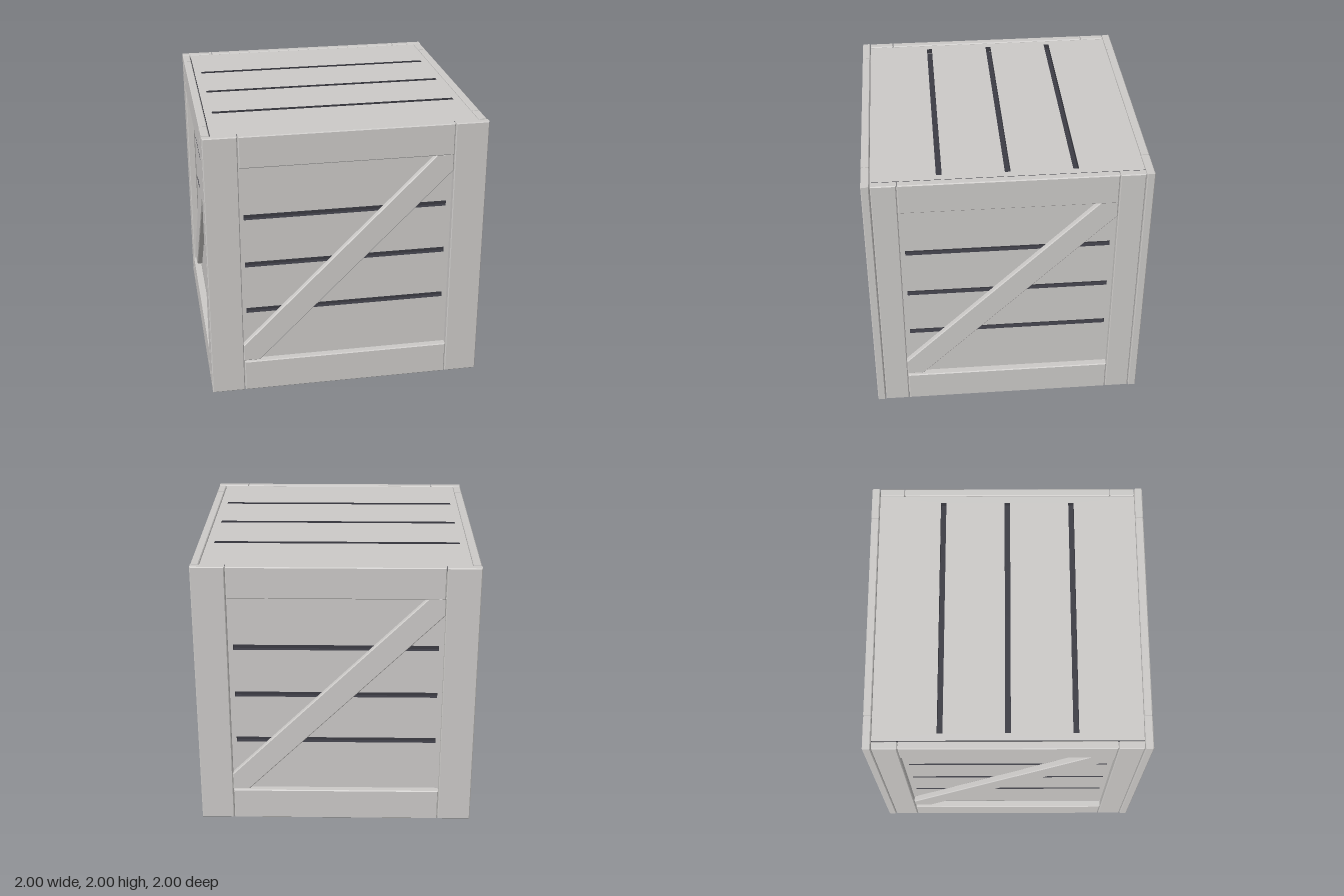
import * as THREE from 'three';

const grey = new THREE.MeshStandardMaterial({ color: 0xcccac8 });
grey.name = 'light grey boards';
const dark = new THREE.MeshStandardMaterial({ color: 0x3c3c44 });
dark.name = 'dark slots';

const BEVEL = 0.006;
const rectPoints = (x0, y0, x1, y1) => [[x0, y0], [x1, y0], [x1, y1], [x0, y1]];
const vectors = (points) => points.map(([x, y]) => new THREE.Vector2(x, y));

// Chamfered board lying in the xy plane, reaching from depth z0 to z1
function board(name, points, z0, z1) {
  const geometry = new THREE.ExtrudeGeometry(new THREE.Shape(vectors(points)), {
    depth: z1 - z0 - 2 * BEVEL,
    bevelEnabled: true,
    bevelThickness: BEVEL,
    bevelSize: BEVEL,
    bevelOffset: -BEVEL,
    bevelSegments: 1,
  });
  geometry.translate(0, 0, z0 + BEVEL);
  const mesh = new THREE.Mesh(geometry, grey);
  mesh.name = name;
  return mesh;
}

// Flat panel pierced by three horizontal slots with dark walls
function slottedPanel(name, [x0, y0, x1, y1], slotHalfLength, slotCentres, thickness) {
  const shape = new THREE.Shape(vectors(rectPoints(x0, y0, x1, y1)));
  for (const y of slotCentres) {
    shape.holes.push(new THREE.Path(vectors(
      rectPoints(-slotHalfLength, y - 0.02, slotHalfLength, y + 0.02).reverse())));
  }
  const geometry = new THREE.ExtrudeGeometry(shape, { depth: thickness, bevelEnabled: false });
  const mesh = new THREE.Mesh(geometry, [grey, dark]);
  mesh.name = name;
  return mesh;
}

// One wall: panel, two posts, two rails and a diagonal brace; halfWidth is its outer reach
function wall(name, halfWidth) {
  const group = new THREE.Group();
  group.name = name;

  const panel = slottedPanel('wallPanel', [-0.93, 0.04, 0.93, 1.955], 0.728, [0.635, 1.005, 1.375], 0.04);
  panel.position.z = 0.9;
  group.add(panel);

  group.add(board('leftPost', rectPoints(0.762, 0, halfWidth, 2), 0.943, 1));
  group.add(board('rightPost', rectPoints(-halfWidth, 0, -0.762, 2), 0.943, 1));
  group.add(board('bottomRail', rectPoints(-0.757, 0, 0.757, 0.238), 0.943, 1));
  group.add(board('topRail', rectPoints(-0.757, 1.768, 0.757, 2), 0.943, 1));

  group.add(board('diagonalBrace', [
    [-0.762, 0.238], [-0.642, 0.238], [0.762, 1.642],
    [0.762, 1.768], [0.642, 1.768], [-0.762, 0.364],
  ], 0.935, 0.982));
  return group;
}

export function createModel() {
  const crate = new THREE.Group();
  crate.name = 'crate';

  // Dark core behind the slots
  const core = new THREE.Mesh(new THREE.BoxGeometry(1.81, 1.89, 1.81), dark);
  core.name = 'slotBacking';
  core.position.y = 1;
  crate.add(core);

  // Four walls, the front and back ones overlapping the side ones at the corners
  ['frontWall', 'leftWall', 'backWall', 'rightWall'].forEach((name, i) => {
    const side = wall(name, i % 2 ? 0.937 : 1);
    side.rotation.y = i * Math.PI / 2;
    crate.add(side);
  });

  // Lid with its own longer slots
  const lid = slottedPanel('lid', [-0.938, -0.938, 0.938, 0.938], 0.885, [-0.47, 0, 0.47], 0.04);
  lid.rotation.x = -Math.PI / 2;
  lid.position.y = 1.955;
  crate.add(lid);

  // Plain base
  const base = new THREE.Mesh(new THREE.BoxGeometry(1.876, 0.06, 1.876), grey);
  base.name = 'base';
  base.position.y = 0.035;
  crate.add(base);

  return crate;
}
